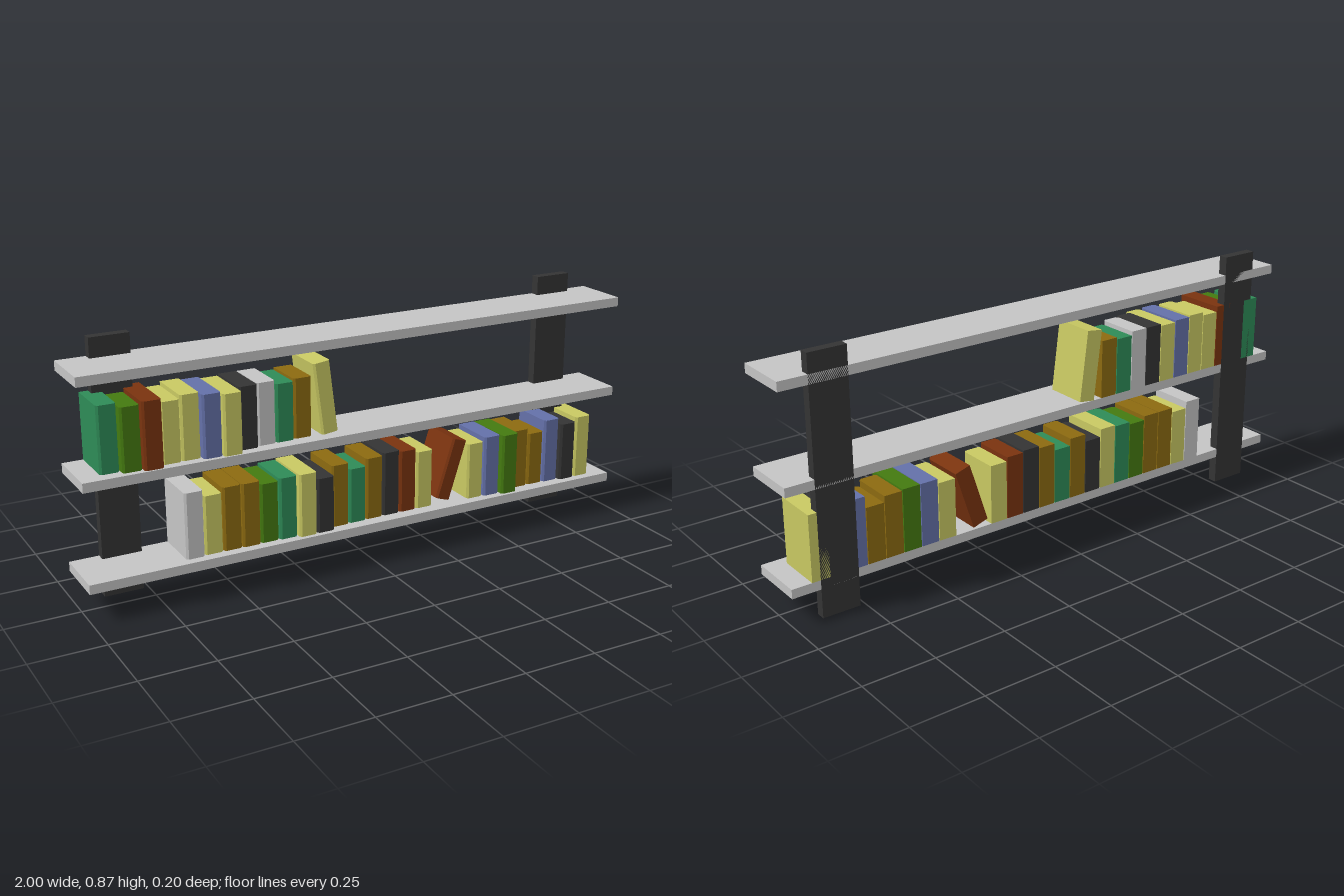
import * as THREE from 'three';

const mat = (name, color) => {
  const m = new THREE.MeshStandardMaterial({ color });
  m.name = name;
  return m;
};

export function createModel() {
  const group = new THREE.Group();
  group.name = 'wallBookshelf';

  const M = {
    gray: mat('lightGray', 0xc4c4c4),
    black: mat('charcoal', 0x343434),
    yellow: mat('paleYellow', 0xc8c862),
    green: mat('seaGreen', 0x2e8b57),
    moss: mat('mossGreen', 0x447a10),
    red: mat('rust', 0x7a330f),
    blue: mat('slateBlue', 0x6470a8),
    ochre: mat('ochre', 0x8c6a10),
  };

  const add = (name, geometry, material, x, y, z) => {
    const mesh = new THREE.Mesh(geometry, material);
    mesh.name = name;
    mesh.position.set(x, y, z);
    group.add(mesh);
    return mesh;
  };

  // Uprights and shelves
  for (const s of [-1, 1]) {
    add(s > 0 ? 'leftUpright' : 'rightUpright',
      new THREE.BoxGeometry(0.133, 0.867, 0.033), M.black, s * 0.8335, 0.4335, -0.0835);
  }
  [0.1167, 0.4525, 0.785].forEach((y, i) =>
    add('shelf' + (i + 1), new THREE.BoxGeometry(2, 0.032, 0.2), M.gray, 0, y, 0));

  // Book: footprint with chamfered spine edges, raised along y, centred in height
  const back = -0.1;
  const bookGeometry = (width, height, front) => {
    const w = width / 2, c = 0.007;
    const s = new THREE.Shape([
      [-w, -back], [-w, c - front], [c - w, -front],
      [w - c, -front], [w, c - front], [w, -back],
    ].map(([x, y]) => new THREE.Vector2(x, y)));
    const g = new THREE.ExtrudeGeometry(s, { depth: height, bevelEnabled: false });
    g.rotateX(-Math.PI / 2);
    return g.translate(0, -height / 2, 0);
  };

  // Row of upright books: [colour, top, front]
  const pitch = 0.0664;
  const row = (startX, baseY, books) => books.forEach(([color, top, front], i) => {
    add('book', bookGeometry(0.0635, top - baseY, front), M[color],
      startX + pitch * (i + 0.5), (top + baseY) / 2, 0);
  });

  row(-0.932, 0.4685, [
    ['green', 0.69, 0.06], ['moss', 0.68, 0.08], ['red', 0.692, 0.094],
    ['yellow', 0.673, 0.07], ['yellow', 0.685, 0.068], ['blue', 0.68, 0.085],
    ['yellow', 0.674, 0.094], ['black', 0.68, 0.066], ['gray', 0.68, 0.056],
    ['green', 0.666, 0.055], ['ochre', 0.673, 0.05],
  ]);
  row(-0.667, 0.1327, [
    ['gray', 0.36, 0.07], ['yellow', 0.336, 0.065], ['ochre', 0.353, 0.066],
    ['ochre', 0.353, 0.068], ['moss', 0.339, 0.066], ['green', 0.348, 0.07],
    ['yellow', 0.353, 0.084], ['black', 0.325, 0.082], ['ochre', 0.352, 0.06],
    ['green', 0.327, 0.058], ['ochre', 0.352, 0.056], ['black', 0.36, 0.056],
    ['red', 0.354, 0.056], ['yellow', 0.34, 0.056],
  ]);
  row(0.4, 0.1327, [
    ['yellow', 0.336, 0.066], ['blue', 0.352, 0.072], ['moss', 0.352, 0.088],
    ['ochre', 0.348, 0.056], ['ochre', 0.327, 0.056], ['blue', 0.367, 0.06],
    ['black', 0.345, 0.072], ['yellow', 0.361, 0.07],
  ]);

  // Leaning books
  add('leaningBook', bookGeometry(0.06, 0.248, 0.06), M.yellow, -0.155, 0.595, 0)
    .rotation.z = 0.124;
  add('leaningBook', bookGeometry(0.058, 0.22, 0.06), M.red, 0.338, 0.253, 0)
    .rotation.z = -0.31;

  return group;
}
